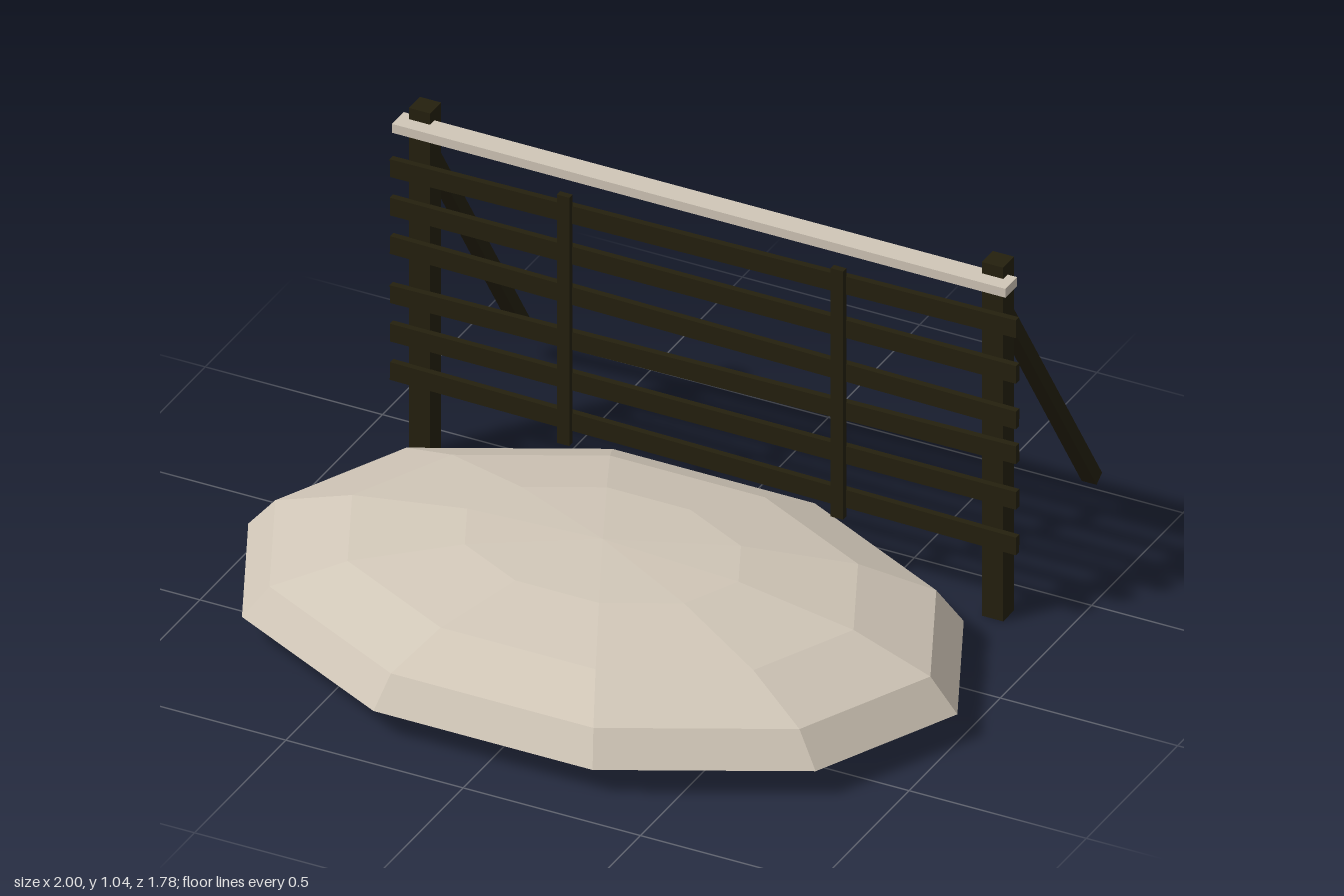
import * as THREE from 'three';

export function createModel() {
  const model = new THREE.Group();
  model.name = 'snowFence';

  const paleSnow = new THREE.MeshStandardMaterial({ color: 0xd0c6b7, flatShading: true });
  paleSnow.name = 'paleSnow';
  const darkWood = new THREE.MeshStandardMaterial({ color: 0x24200e, flatShading: true });
  darkWood.name = 'darkWood';

  function add(name, geometry, material, x, y, z) {
    const mesh = new THREE.Mesh(geometry, material);
    mesh.name = name;
    mesh.position.set(x, y, z);
    model.add(mesh);
    return mesh;
  }
  const box = (name, material, w, h, d, x, y, z) =>
    add(name, new THREE.BoxGeometry(w, h, d), material, x, y, z);

  // Low drift: faceted half dome squashed to an oval, closed underneath
  const dome = new THREE.SphereGeometry(1, 10, 4, 0, Math.PI * 2, 0, Math.PI / 2);
  dome.scale(1, 0.235, 0.69);
  add('drift', dome, paleSnow, 0, 0.08, 0.235);

  const base = new THREE.CircleGeometry(1, 10);
  base.rotateX(Math.PI / 2);
  base.scale(1, 1, 0.69);
  add('driftBase', base, paleSnow, 0, 0.08, 0.235);

  // Posts, sloping braces behind them and slim uprights in front of the slats
  const braceTop = new THREE.Vector2(-0.384, 0.88); // z, y
  const braceFoot = new THREE.Vector2(-0.878, 0.118);
  const middle = braceTop.clone().add(braceFoot).multiplyScalar(0.5);
  const run = braceTop.clone().sub(braceFoot);
  for (const [side, s] of [['left', 1], ['right', -1]]) {
    box(side + 'Post', darkWood, 0.06, 1.04, 0.06, s * 0.808, 0.52, -0.36);
    const brace = box(side + 'Brace', darkWood, 0.042, run.length(), 0.036, s * 0.806, middle.y, middle.x);
    brace.rotation.x = Math.atan2(run.x, run.y);
    box(side + 'Upright', darkWood, 0.035, 0.73, 0.018, s * 0.386, 0.56, -0.306);
  }

  // Horizontal slats, some nailed slightly askew
  [0.012, 0, -0.012, 0.012, 0, -0.012].forEach((tilt, i) => {
    const slat = box('slat' + (i + 1), darkWood, 1.766, 0.052, 0.018, 0, 0.87 - i * 0.1235, -0.322);
    slat.rotation.z = tilt;
  });

  // Snow-covered top rail
  box('topRail', paleSnow, 1.73, 0.026, 0.064, 0, 0.994, -0.322);

  return model;
}
